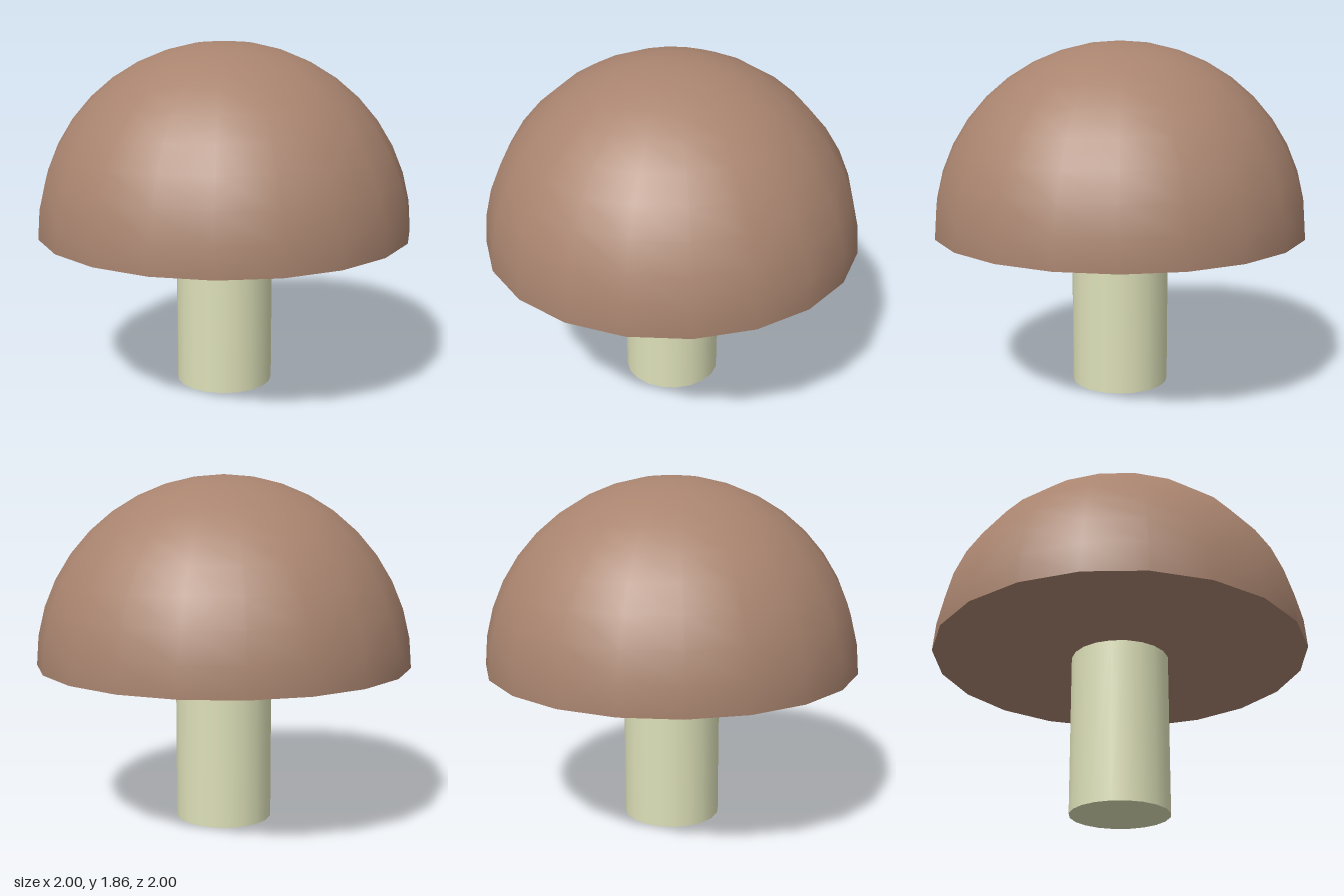
import * as THREE from 'three';

const SIDES = 20;
const STEM_HEIGHT = 0.855;

export function createModel() {
  const model = new THREE.Group();
  model.name = 'mushroom';
  const capMaterial = new THREE.MeshStandardMaterial({ color: 0xa9846f });
  const stemMaterial = new THREE.MeshStandardMaterial({ color: 0xdde0b8 });

  const add = (parent, name, geometry, material, y) => {
    const mesh = new THREE.Mesh(geometry, material);
    mesh.name = name;
    mesh.position.y = y;
    parent.add(mesh);
    return mesh;
  };

  // Straight round stem with closed ends
  add(model, 'stem', new THREE.CylinderGeometry(0.26, 0.26, STEM_HEIGHT, SIDES), stemMaterial, STEM_HEIGHT / 2);

  // Half-sphere cap, closed by a flat underside
  const cap = new THREE.Group();
  cap.name = 'cap';
  model.add(cap);
  const dome = new THREE.SphereGeometry(1, SIDES, 10, 0, Math.PI * 2, 0, Math.PI / 2);
  add(cap, 'capDome', dome, capMaterial, STEM_HEIGHT);
  const underside = add(cap, 'capUnderside', new THREE.CircleGeometry(1, SIDES), capMaterial, STEM_HEIGHT);
  underside.rotation.x = Math.PI / 2;

  return model;
}
